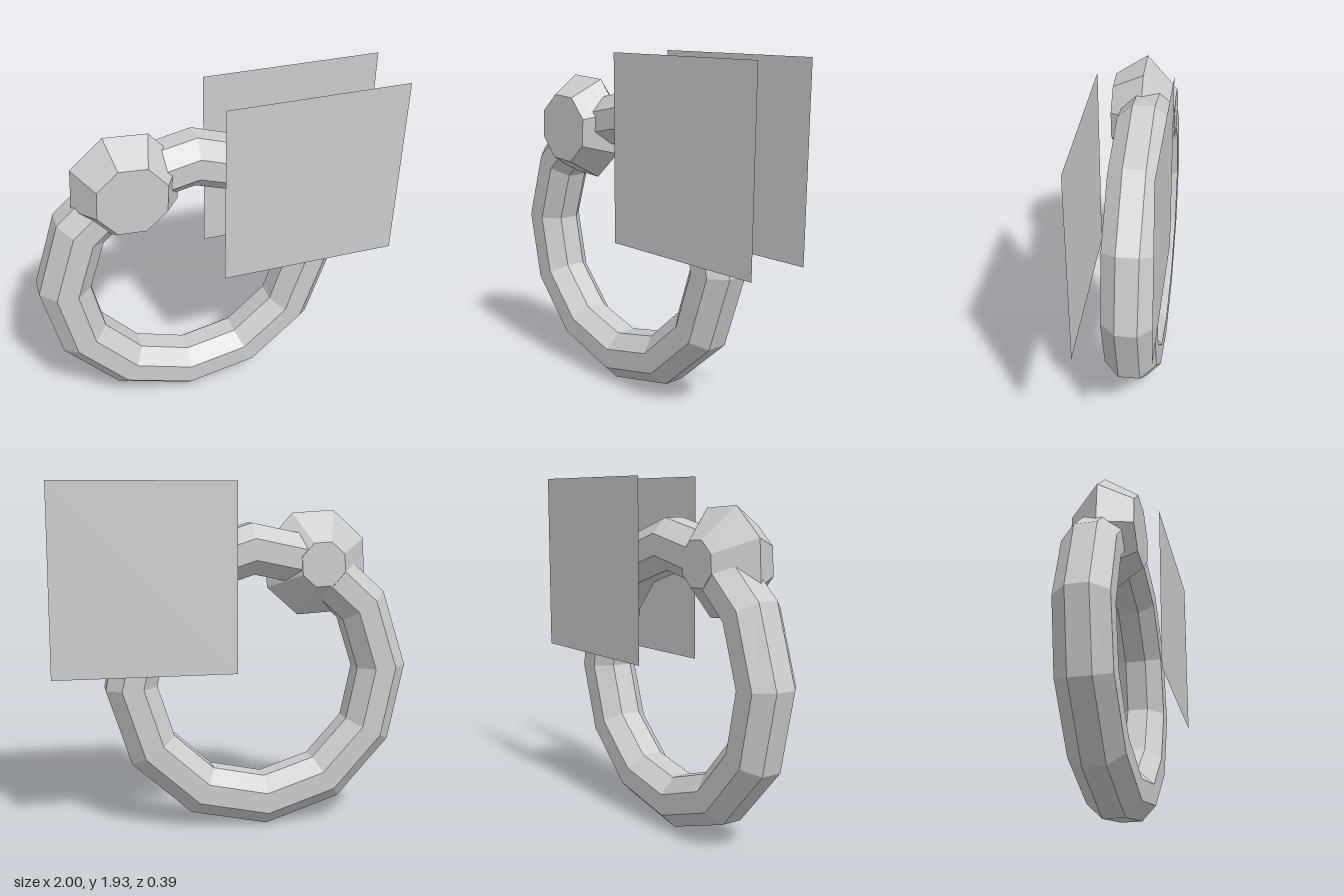
import * as THREE from 'three';

const rad = THREE.MathUtils.degToRad;

// Faceted solid of revolution about the z axis; profile points are [radius, z]
function facetedLathe(profile, sides, startDeg) {
  const points = profile.map(([r, z]) => new THREE.Vector2(r, z));
  const geometry = new THREE.LatheGeometry(points, sides, rad(startDeg), Math.PI * 2)
    .rotateX(Math.PI / 2)
    .toNonIndexed();
  geometry.computeVertexNormals();
  return geometry;
}

export function createModel() {
  const group = new THREE.Group();
  const grey = new THREE.MeshStandardMaterial({ color: 0xcccccc });
  grey.name = 'pale grey';
  const greySheet = new THREE.MeshStandardMaterial({ color: 0xcccccc, side: THREE.DoubleSide });
  greySheet.name = 'pale grey sheet';

  const add = (name, geometry, material, x, y, z) => {
    const mesh = new THREE.Mesh(geometry, material);
    mesh.name = name;
    mesh.position.set(x, y, z);
    group.add(mesh);
  };

  // Band: octagonal section swept round twelve sides
  const section = [];
  for (let i = 0; i <= 8; i++) {
    const a = rad(22.5 + i * 45);
    section.push([0.716 + 0.153 * Math.cos(a), 0.156 * Math.sin(a)]);
  }
  add('band', facetedLathe(section, 12, -3), grey, -0.145, 0.857, -0.03);

  // Gem: flat table, sloping crown, girdle and blunt tapered back
  const cut = [[0, -0.176], [0.13, -0.176], [0.31, 0], [0.2, 0.176], [0, 0.176]];
  add('gem', facetedLathe(cut, 8, 19), grey, -0.485, 1.487, 0);

  // Two square sheets, in front of and behind the band
  const sheet = new THREE.PlaneGeometry(1, 1.036);
  add('frontSheet', sheet, greySheet, 0.5, 1.417, 0.195);
  add('backSheet', sheet, greySheet, 0.5, 1.417, -0.195);

  return group;
}
